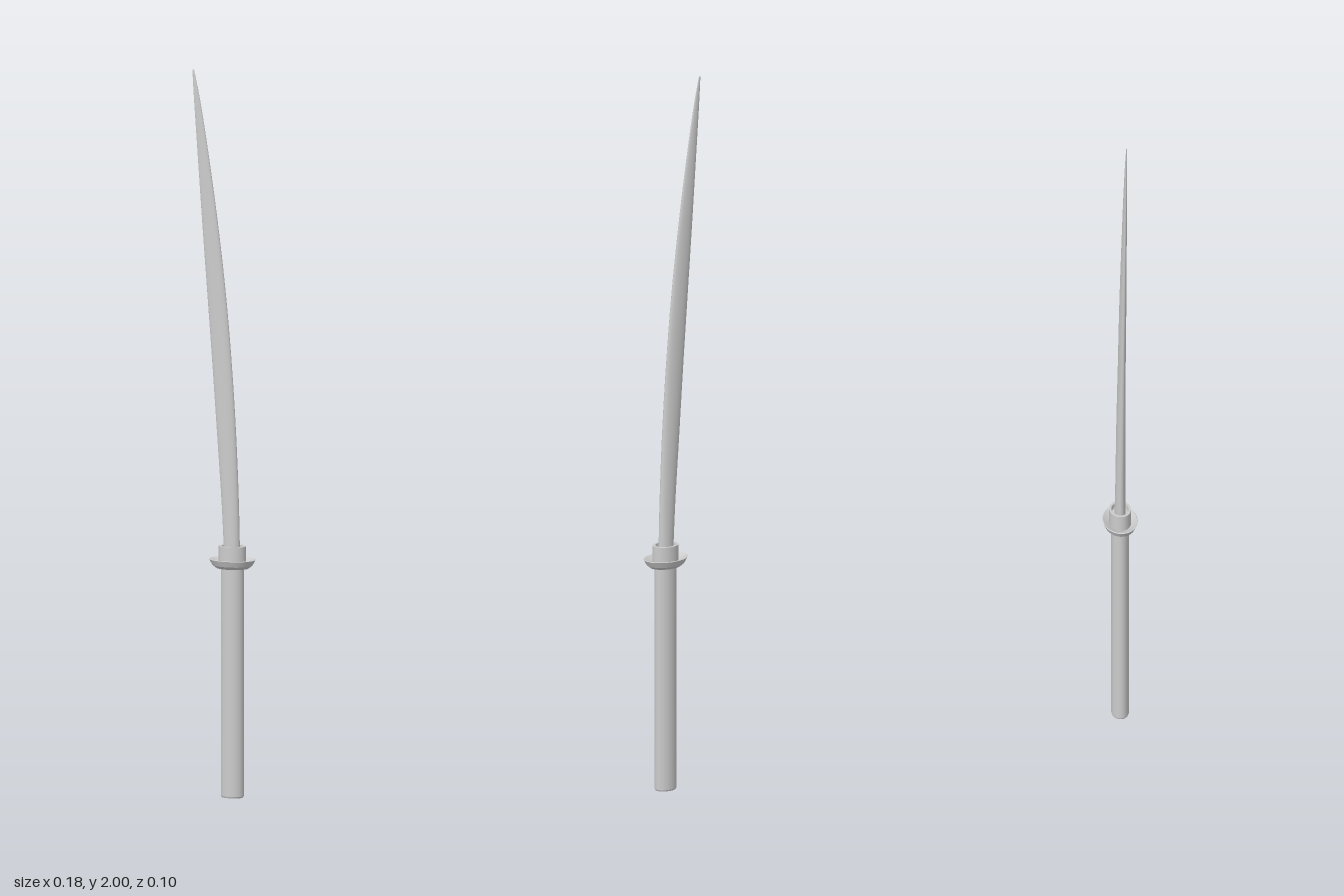
import * as THREE from 'three';

const material = new THREE.MeshStandardMaterial({ color: 0xcccccc, side: THREE.DoubleSide });
const CENTER_X = 0.023;

// Lathe a [radius, y] profile and flatten it in z to an oval; each segment keeps a sharp edge
function oval(name, profile, depth) {
  const group = new THREE.Group();
  group.name = name;
  for (let i = 0; i < profile.length - 1; i++) {
    const points = [profile[i], profile[i + 1]].map(([r, y]) => new THREE.Vector2(r, y));
    const geometry = new THREE.LatheGeometry(points, 32);
    geometry.scale(1, 1, depth);
    const mesh = new THREE.Mesh(geometry, material);
    mesh.name = `${name}Band${i + 1}`;
    group.add(mesh);
  }
  group.position.x = CENTER_X;
  return group;
}

// Curved blade: oval cross-sections [y, cutting edge x, spine x, half thickness]
function createBlade() {
  const stations = [
    [0.64, 0.001, 0.045, 0.015],
    [0.8, -0.007, 0.042, 0.013],
    [1.0, -0.021, 0.034, 0.012],
    [1.2, -0.035, 0.021, 0.010],
    [1.4, -0.050, 0.003, 0.009],
    [1.6, -0.065, -0.021, 0.007],
    [1.8, -0.079, -0.050, 0.005],
    [1.93, -0.088, -0.072, 0.003],
    [2.0, -0.092, -0.087, 0.001],
  ];
  const curve = (k) => new THREE.CatmullRomCurve3(
    stations.map((s) => new THREE.Vector3(s[k], s[0], s[3])));
  const edge = curve(1), spine = curve(2);
  const sides = 20, rows = 32;
  const positions = [], indices = [];
  for (let i = 0; i <= rows; i++) {
    const a = edge.getPoint(i / rows), b = spine.getPoint(i / rows);
    for (let j = 0; j < sides; j++) {
      const t = (j / sides) * Math.PI * 2;
      positions.push((a.x + b.x) / 2 + Math.cos(t) * (b.x - a.x) / 2, a.y, -Math.sin(t) * a.z);
      if (i < rows) {
        const p = i * sides + j, q = i * sides + (j + 1) % sides;
        indices.push(p, q, p + sides, q, q + sides, p + sides);
      }
    }
  }
  // Close the tip
  const top = rows * sides;
  for (let j = 1; j < sides - 1; j++) indices.push(top, top + j, top + j + 1);
  const geometry = new THREE.BufferGeometry();
  geometry.setAttribute('position', new THREE.Float32BufferAttribute(positions, 3));
  geometry.setIndex(indices);
  geometry.computeVertexNormals();
  const blade = new THREE.Mesh(geometry, material);
  blade.name = 'blade';
  return blade;
}

export function createModel() {
  const sword = new THREE.Group();
  sword.name = 'sword';
  sword.add(
    // Oval grip with a closed, slightly rounded pommel end
    oval('handle', [[0, 0], [0.03, 0], [0.032, 0.004], [0.032, 0.64]], 0.75),
    // Flared, dished guard
    oval('guard', [[0.03, 0.63], [0.045, 0.632], [0.056, 0.64], [0.065, 0.656], [0.062, 0.657], [0.036, 0.645]], 0.74),
    // Collar around the base of the blade, with a recessed mouth
    oval('collar', [[0.038, 0.64], [0.038, 0.693], [0.03, 0.693], [0.028, 0.68], [0, 0.68]], 0.78),
    createBlade(),
  );
  return sword;
}
